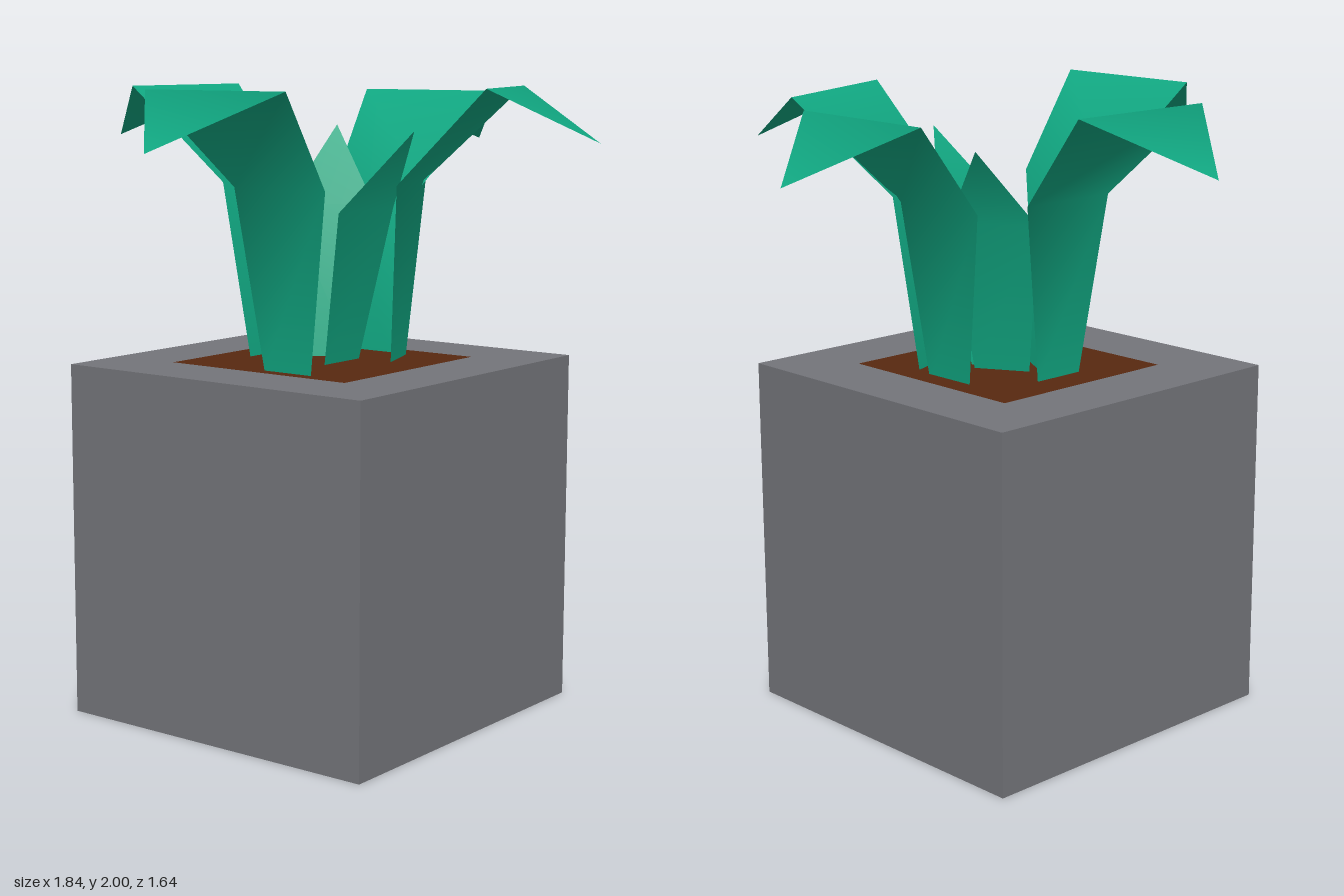
import * as THREE from 'three';

const leafMaterial = new THREE.MeshStandardMaterial({ color: 0x11a882, side: THREE.DoubleSide });
const potMaterial = new THREE.MeshStandardMaterial({ color: 0x74757a });
const soilMaterial = new THREE.MeshStandardMaterial({ color: 0x582810 });

const POT = 1.136, SOIL = 0.68;

// Rows up the leaf: [half width, height, distance outwards]; the last row is the tip
const BIG = [[0.09, 1.13, 0], [0.175, 1.7, 0.04], [0.265, 2, 0.34], [0, 1.83, 0.64]];
const SMALL = [[0.09, 1.13, 0], [0.143, 1.62, 0.095], [0, 1.87, 0.275]];

// A thin smooth blade that leans towards +z, with its front on the upper side
function leafGeometry(rows) {
  const positions = [], index = [];
  const tip = rows.length - 1;
  rows.forEach(([w, y, z], i) => {
    if (i === tip) {
      positions.push(0, y, z);
      index.push(2 * i - 2, 2 * i, 2 * i - 1);
      return;
    }
    positions.push(-w, y, z, w, y, z);
    if (i > 0) {
      const a = 2 * i - 2;
      index.push(a, a + 3, a + 1, a, a + 2, a + 3);
    }
  });
  const geometry = new THREE.BufferGeometry();
  geometry.setAttribute('position', new THREE.Float32BufferAttribute(positions, 3));
  geometry.setIndex(index);
  geometry.computeVertexNormals();
  return geometry;
}

function square(Type, size) {
  const h = size / 2;
  return new Type([[-h, -h], [h, -h], [h, h], [-h, h]].map(([x, y]) => new THREE.Vector2(x, y)));
}

export function createModel() {
  const model = new THREE.Group();
  const add = (name, geometry, material, x, y, z) => {
    const mesh = new THREE.Mesh(geometry, material);
    mesh.name = name;
    mesh.position.set(x, y, z);
    model.add(mesh);
    return mesh;
  };

  // Square pot with a square opening through it, filled flush with soil
  const potShape = square(THREE.Shape, POT);
  potShape.holes.push(square(THREE.Path, SOIL));
  const potGeometry = new THREE.ExtrudeGeometry(potShape, { depth: POT, bevelEnabled: false });
  potGeometry.rotateX(-Math.PI / 2);
  add('pot', potGeometry, potMaterial, 0.016, 0, 0.047);
  add('soil', new THREE.BoxGeometry(SOIL, POT, SOIL), soilMaterial, 0.016, POT / 2, 0.047);

  // Leaves: [name, rows, base x, base z, heading in degrees from +z, height offset]
  const leaves = [
    ['leftLeaf', BIG, 0.28, 0.035, 90, -0.02],
    ['rightLeaf', BIG, -0.28, 0.135, -90, 0],
    ['backLeaf', BIG, 0.015, -0.18, 180, 0],
    ['frontLeaf', BIG, 0.184, 0.22, 20, 0],
    ['smallFrontLeaf', SMALL, 0.015, 0.12, 0, 0],
    ['smallLeftLeaf', SMALL, 0.08, 0.008, 120, 0],
    ['smallRightLeaf', SMALL, -0.048, 0.008, -120, 0],
  ];
  for (const [name, rows, x, z, heading, lift] of leaves) {
    const leaf = add(name, leafGeometry(rows), leafMaterial, x, lift, z);
    leaf.rotation.y = THREE.MathUtils.degToRad(heading);
  }
  return model;
}
